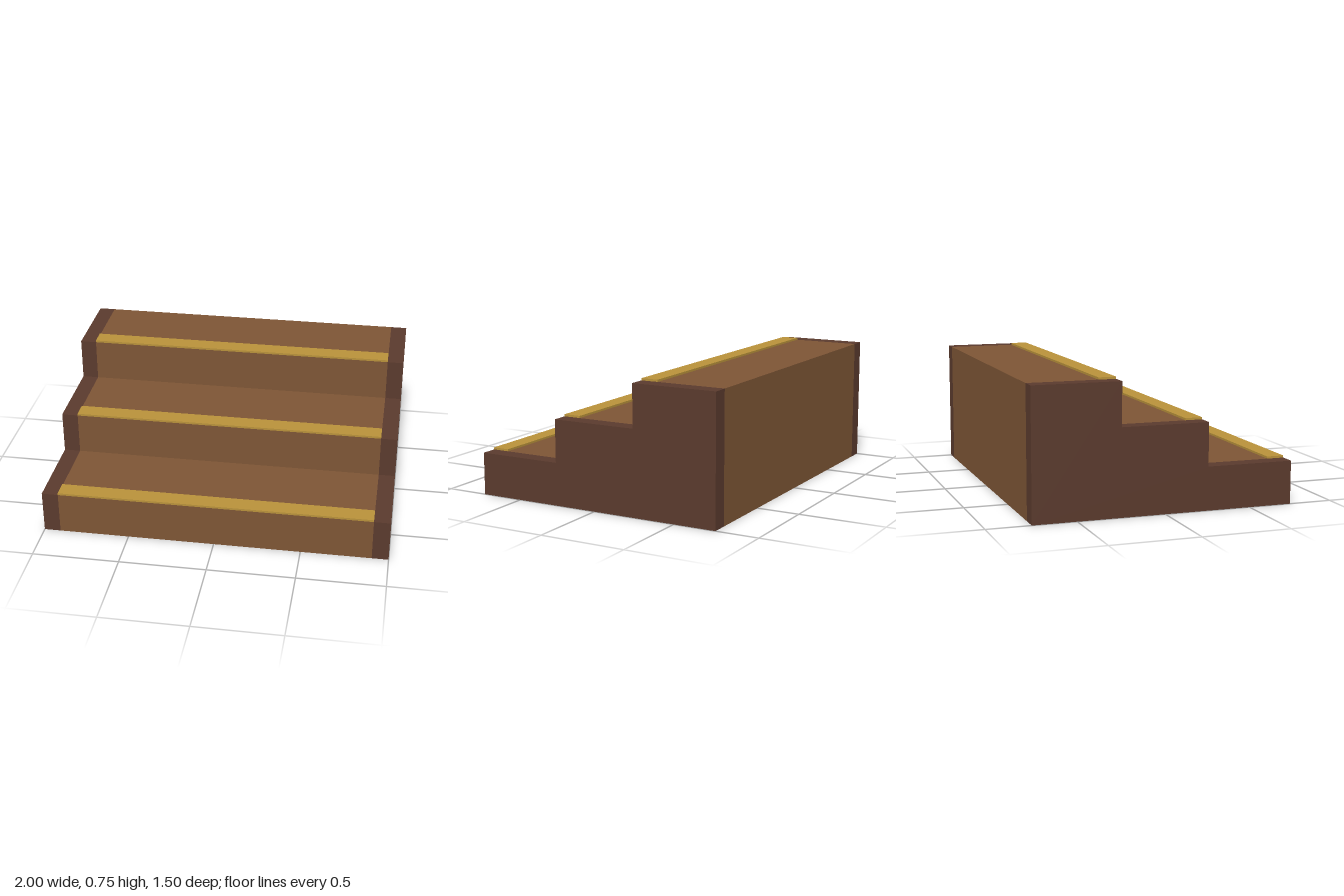
import * as THREE from 'three';

const STEPS = 3, RISE = 0.246, RUN = 0.5, DEPTH = STEPS * RUN;
const HALF_INNER = 0.905, SIDE = 0.095;

// Stepped side profile extruded across x between x0 and x0 + width
function steppedSlab(x0, width, material, name) {
  const s = new THREE.Shape();
  s.moveTo(-DEPTH / 2, 0);
  for (let i = 0; i < STEPS; i++) {
    s.lineTo(-DEPTH / 2 + i * RUN, (i + 1) * RISE);
    s.lineTo(-DEPTH / 2 + (i + 1) * RUN, (i + 1) * RISE);
  }
  s.lineTo(DEPTH / 2, 0);
  s.closePath();
  const geo = new THREE.ExtrudeGeometry(s, { depth: width, bevelEnabled: false });
  geo.rotateY(Math.PI / 2); // profile x becomes -z, extrusion runs along +x
  geo.translate(x0, 0, 0);
  const mesh = new THREE.Mesh(geo, material);
  mesh.name = name;
  return mesh;
}

export function createModel() {
  const wood = new THREE.MeshStandardMaterial({ color: 0x7d5535 });
  wood.name = 'stepWood';
  const darkWood = new THREE.MeshStandardMaterial({ color: 0x5a3a2d });
  darkWood.name = 'darkSideWood';
  const brass = new THREE.MeshStandardMaterial({ color: 0xb8913a });
  brass.name = 'brassTrim';

  const model = new THREE.Group();
  model.name = 'steps';

  // Solid steps between two side panels
  model.add(steppedSlab(-HALF_INNER, HALF_INNER * 2, wood, 'stepBody'));
  model.add(steppedSlab(HALF_INNER, SIDE, darkWood, 'leftSidePanel'));
  model.add(steppedSlab(-HALF_INNER - SIDE, SIDE, darkWood, 'rightSidePanel'));

  // Trim strip along the front edge of each tread
  const strip = new THREE.BoxGeometry(HALF_INNER * 2, 0.012, 0.1);
  for (let i = 0; i < STEPS; i++) {
    const trim = new THREE.Mesh(strip, brass);
    trim.name = `edgeTrim${i + 1}`;
    trim.position.set(0, (i + 1) * RISE + 0.006, DEPTH / 2 - i * RUN - 0.05);
    model.add(trim);
  }
  return model;
}
